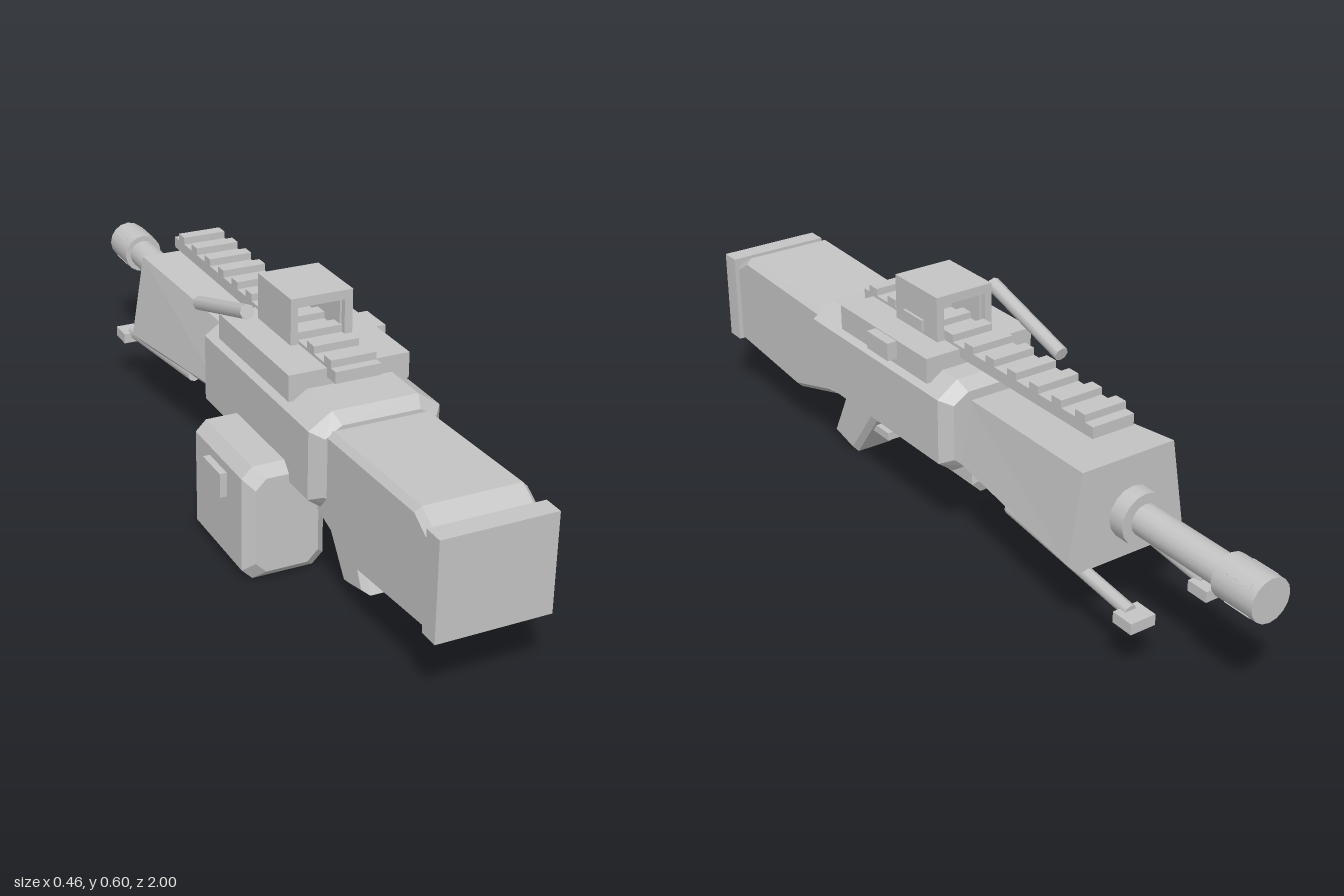
import * as THREE from 'three';

const CX = 0.052; // centre line of the body
const grey = new THREE.MeshStandardMaterial({ color: 0xc4c4c4 });
grey.name = 'plainGrey';

// Solid lofted through convex rings, listed from +z to -z, corners counter-clockwise seen from +z
function loft(rings) {
  const pos = [];
  const tri = (...pts) => pts.forEach((p) => pos.push(...p));
  const n = rings[0].length;
  for (let r = 0; r < rings.length - 1; r++) {
    for (let i = 0; i < n; i++) {
      const j = (i + 1) % n;
      const a = rings[r][i], b = rings[r][j], c = rings[r + 1][j], d = rings[r + 1][i];
      tri(a, d, b);
      tri(b, d, c);
    }
  }
  const first = rings[0], last = rings[rings.length - 1];
  for (let i = 1; i < n - 1; i++) {
    tri(first[0], first[i], first[i + 1]);
    tri(last[0], last[i + 1], last[i]);
  }
  const g = new THREE.BufferGeometry();
  g.setAttribute('position', new THREE.Float32BufferAttribute(pos, 3));
  g.computeVertexNormals();
  return g;
}

// Rectangle with cut corners; bottom and top cuts are [x, y]
function octagon(z, x0, x1, y0, y1, bot, top) {
  return [
    [x0 + bot[0], y0], [x1 - bot[0], y0], [x1, y0 + bot[1]], [x1, y1 - top[1]],
    [x1 - top[0], y1], [x0 + top[0], y1], [x0, y1 - top[1]], [x0, y0 + bot[1]],
  ].map(([x, y]) => [x, y, z]);
}

// Side outline of [z, y] points given a width in x and bevelled edges
function sideExtrude(points, cx, width, bevel) {
  const shape = new THREE.Shape(points.map(([z, y]) => new THREE.Vector2(z, y)));
  const depth = width - 2 * bevel;
  const g = new THREE.ExtrudeGeometry(shape, {
    depth, bevelEnabled: true, bevelSize: bevel, bevelThickness: bevel, bevelOffset: -bevel, bevelSegments: 1,
  });
  return g.translate(0, 0, -depth / 2).rotateY(-Math.PI / 2).translate(cx, 0, 0);
}

function rectPath(path, x0, x1, y0, y1) {
  path.moveTo(x0, y0);
  path.lineTo(x1, y0);
  path.lineTo(x1, y1);
  path.lineTo(x0, y1);
  path.closePath();
  return path;
}

export function createModel() {
  const group = new THREE.Group();
  const add = (name, geometry) => {
    const m = new THREE.Mesh(geometry, grey);
    m.name = name;
    group.add(m);
    return m;
  };
  const box = (name, x0, x1, y0, y1, z0, z1) => add(name, new THREE.BoxGeometry(x1 - x0, y1 - y0, z1 - z0)
    .translate((x0 + x1) / 2, (y0 + y1) / 2, (z0 + z1) / 2));
  const rod = (name, from, to, radius, sides) => {
    const a = new THREE.Vector3(...from), b = new THREE.Vector3(...to);
    const m = add(name, new THREE.CylinderGeometry(radius, radius, a.distanceTo(b), sides));
    m.position.copy(a).add(b).multiplyScalar(0.5);
    m.quaternion.setFromUnitVectors(new THREE.Vector3(0, 1, 0), b.sub(a).normalize());
    return m;
  };
  const frame = (name, outer, inner, z0, z1) => {
    const shape = rectPath(new THREE.Shape(), ...outer);
    shape.holes.push(rectPath(new THREE.Path(), ...inner));
    add(name, new THREE.ExtrudeGeometry(shape, { depth: z1 - z0, bevelEnabled: false }).translate(0, 0, z0));
  };

  // Stock and butt plate
  box('buttPlate', -0.083, 0.188, 0.175, 0.41, 0.95, 1);
  add('stock', sideExtrude([
    [0.955, 0.172], [0.955, 0.39], [0.895, 0.427], [0.5, 0.415], [0.46, 0.2], [0.65, 0.145],
  ], CX, 0.258, 0.014));

  // Receiver with all edges cut
  const body = [-0.108, 0.212, 0.215, 0.448];
  const bodyEnd = [-0.083, 0.187, 0.235, 0.425];
  add('receiver', loft([
    octagon(0.52, ...bodyEnd, [0.03, 0.025], [0.04, 0.025]),
    octagon(0.49, ...body, [0.04, 0.03], [0.055, 0.038]),
    octagon(-0.065, ...body, [0.04, 0.03], [0.055, 0.038]),
    octagon(-0.095, ...bodyEnd, [0.03, 0.025], [0.04, 0.025]),
  ]));

  // Handguard flaring towards the muzzle, with a narrower top
  const guard = (z, half, topHalf, y0, y1) => [
    [CX - half + 0.03, y0], [CX + half - 0.03, y0], [CX + half, y0 + 0.03],
    [CX + topHalf, y1], [CX - topHalf, y1], [CX - half, y0 + 0.03],
  ].map(([x, y]) => [x, y, z]);
  add('handguard', loft([guard(-0.08, 0.115, 0.085, 0.215, 0.4), guard(-0.555, 0.16, 0.125, 0.187, 0.432)]));

  // Barrel, collar and muzzle
  const by = 0.306;
  rod('barrel', [CX, by, -0.5], [CX, by, -0.9], 0.038, 16);
  rod('barrelCollar', [CX, by, -0.572], [CX, by, -0.615], 0.063, 16);
  rod('muzzle', [CX, by, -0.88], [CX, by, -1], 0.052, 16);
  for (let i = 0; i < 4; i++) {
    const a = Math.PI / 4 + i * Math.PI / 2;
    const slot = add('muzzleSlot', new THREE.BoxGeometry(0.004, 0.01, 0.07));
    slot.position.set(CX + Math.cos(a) * 0.051, by + Math.sin(a) * 0.051, -0.945);
    slot.rotation.z = a;
  }

  // Top mount and toothed rail
  box('topMount', -0.097, 0.201, 0.425, 0.488, -0.005, 0.37);
  box('mountButton', 0.2, 0.227, 0.441, 0.486, 0.12, 0.21);
  box('railBase', -0.004, 0.108, 0.467, 0.495, -0.5, 0.41);
  for (let i = 0; i < 11; i++) {
    const z = 0.37 - i * 0.0825;
    box('railTooth', -0.004, 0.108, 0.494, 0.513, z - 0.017, z + 0.017);
  }

  // Open sight box with an inner rim
  frame('sightHousing', [-0.025, 0.13, 0.488, 0.6], [-0.007, 0.11, 0.492, 0.577], 0.055, 0.23);
  frame('sightRim', [-0.008, 0.111, 0.49, 0.578], [-0.001, 0.105, 0.497, 0.57], 0.07, 0.215);
  box('sightButton', 0.129, 0.137, 0.495, 0.525, 0.11, 0.19);

  // Slanted charging handle on the right side
  rod('chargingHandle', [-0.093, 0.55, 0.145], [-0.093, 0.467, -0.13], 0.018, 8);

  // Side magazine with a raised panel
  const mag = (z, s) => octagon(z, -0.212 + s, -0.01 - s, 0.004 + s, 0.288 - s, [0.026, 0.026], [0.026, 0.026]);
  add('magazine', loft([mag(0.398, 0.024), mag(0.374, 0), mag(0.119, 0), mag(0.095, 0.024)]));
  box('magazinePanel', -0.229, -0.2, 0.18, 0.24, 0.2, 0.295);

  // Grip and trigger
  add('grip', sideExtrude([
    [0.585, 0.028], [0.475, 0.25], [0.385, 0.25], [0.37, 0.15], [0.48, 0.003],
  ], CX, 0.128, 0.014));
  box('trigger', 0.015, 0.09, 0.138, 0.162, 0.338, 0.4);
  box('triggerGuard', 0.01, 0.095, 0.092, 0.113, 0.342, 0.43);

  // Folded bipod legs with feet
  for (const s of [-1, 1]) {
    const x = CX + s * 0.104;
    rod('bipodLeg', [x, 0.208, -0.27], [x, 0.158, -0.7], 0.016, 8);
    box('bipodFoot', x - 0.033, x + 0.033, 0.135, 0.162, -0.742, -0.682);
  }
  return group;
}
